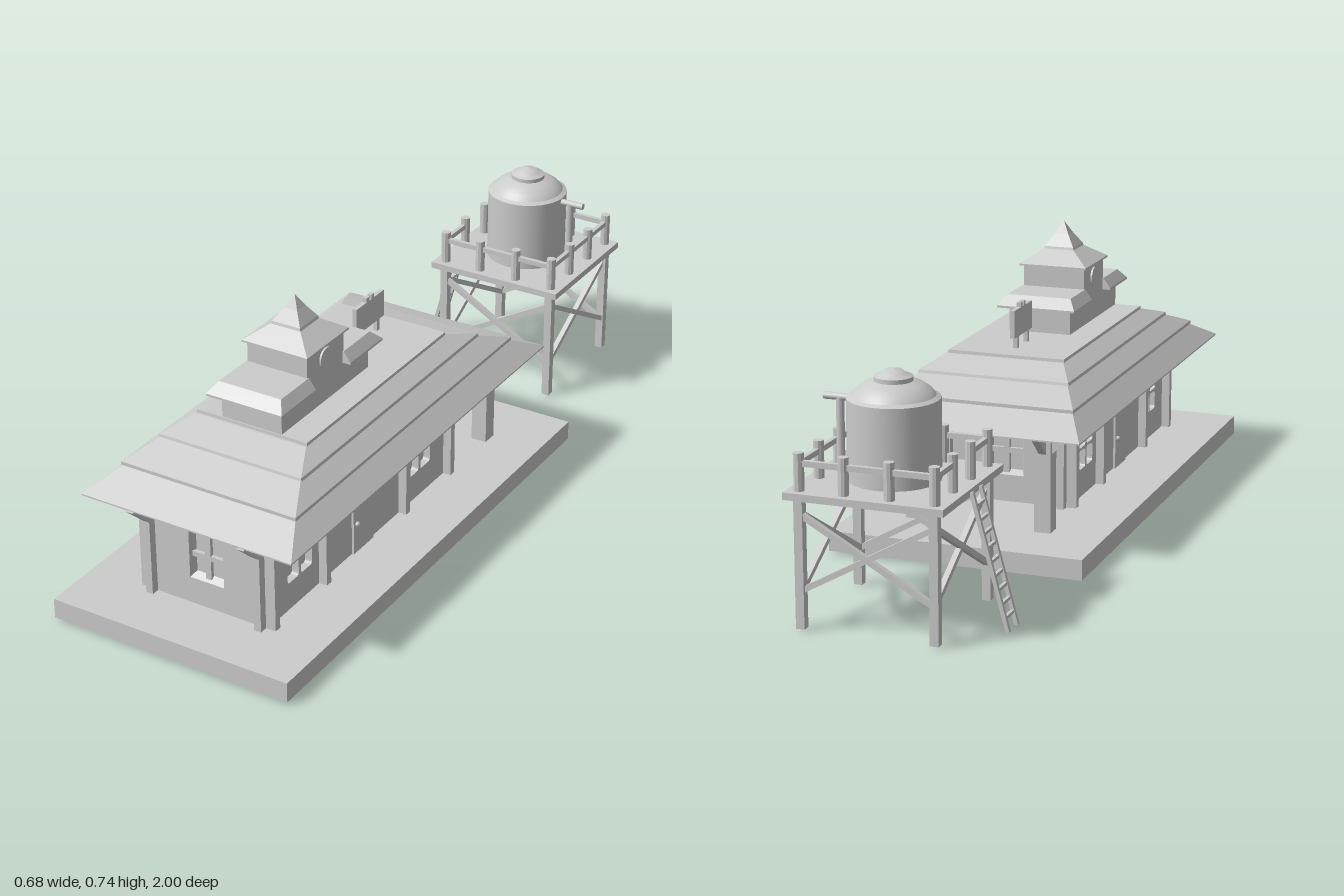
import * as THREE from 'three';

const mat = new THREE.MeshStandardMaterial({ color: 0xcccccc, flatShading: true });
const smooth = new THREE.MeshStandardMaterial({ color: 0xcccccc });

function add(parent, name, geo, x = 0, y = 0, z = 0, m = mat) {
  const mesh = new THREE.Mesh(geo, m);
  mesh.name = name;
  mesh.position.set(x, y, z);
  parent.add(mesh);
  return mesh;
}

function group(parent, name, x = 0, y = 0, z = 0) {
  const g = new THREE.Group();
  g.name = name;
  g.position.set(x, y, z);
  parent.add(g);
  return g;
}

// Box given by its limits
function block(parent, name, x0, x1, y0, y1, z0, z1) {
  return add(parent, name, new THREE.BoxGeometry(x1 - x0, y1 - y0, z1 - z0),
    (x0 + x1) / 2, (y0 + y1) / 2, (z0 + z1) / 2);
}

// Box whose top is squeezed to a second rectangle: bottom/top = [x0, x1, z0, z1]
function taper(parent, name, y0, y1, bottom, top) {
  const geo = new THREE.BoxGeometry(1, 1, 1);
  const p = geo.attributes.position;
  for (let i = 0; i < p.count; i++) {
    const up = p.getY(i) > 0, r = up ? top : bottom;
    p.setXYZ(i, p.getX(i) > 0 ? r[1] : r[0], up ? y1 : y0, p.getZ(i) > 0 ? r[3] : r[2]);
  }
  geo.computeVertexNormals();
  return add(parent, name, geo);
}

// Square bar between two points of the parent's space
function beam(parent, name, a, b, w) {
  const va = new THREE.Vector3(...a), vb = new THREE.Vector3(...b);
  const mesh = add(parent, name, new THREE.BoxGeometry(w, w, va.distanceTo(vb)));
  mesh.position.copy(va).lerp(vb, 0.5);
  mesh.quaternion.setFromRotationMatrix(new THREE.Matrix4().lookAt(vb, va, mesh.up));
}

// Slanted eave bracket reaching outwards along the given angle
function bracket(parent, x, z, angle) {
  const s = new THREE.Shape([[-0.005, 0.265], [0.065, 0.329], [0.035, 0.329], [-0.005, 0.295]]
    .map(([u, v]) => new THREE.Vector2(u, v)));
  const geo = new THREE.ExtrudeGeometry(s, { depth: 0.02, bevelEnabled: false });
  geo.translate(0, 0, -0.01);
  add(parent, 'eaveBracket', geo, x, 0, z).rotation.y = angle;
}

// Rounded window opening
function pane(cx, cy, w, h, r) {
  const p = new THREE.Path(), x = cx - w / 2, y = cy - h / 2;
  p.moveTo(x + r, y);
  p.lineTo(x + w - r, y).quadraticCurveTo(x + w, y, x + w, y + r);
  p.lineTo(x + w, y + h - r).quadraticCurveTo(x + w, y + h, x + w - r, y + h);
  p.lineTo(x + r, y + h).quadraticCurveTo(x, y + h, x, y + h - r);
  p.lineTo(x, y + r).quadraticCurveTo(x, y, x + r, y);
  return p;
}

// Wall panel with openings, outer face at local z = 0
function wall(parent, name, half, holes) {
  const s = new THREE.Shape([[-half, 0.06], [half, 0.06], [half, 0.33], [-half, 0.33]]
    .map(([u, v]) => new THREE.Vector2(u, v)));
  s.holes.push(...holes);
  const geo = new THREE.ExtrudeGeometry(s, { depth: 0.02, bevelEnabled: false, curveSegments: 4 });
  geo.translate(0, 0, -0.02);
  add(parent, name, geo);
}

function buildHouse(root) {
  const house = group(root, 'house', 0.005, 0, 0.4);
  block(house, 'wallCore', -0.155, 0.155, 0.06, 0.328, -0.415, 0.415);

  // End walls with cross-barred windows, posts and brackets
  for (const s of [1, -1]) {
    const end = group(house, s > 0 ? 'frontWall' : 'backWall', 0, 0, s * 0.435);
    if (s < 0) end.rotation.y = Math.PI;
    wall(end, 'endWall', 0.175, [pane(0, 0.2, 0.1, 0.132, 0.001)]);
    // Sloping reveal around the opening
    const reveal = new THREE.CylinderGeometry(0.0707, 0.058, 0.018, 4, 1, true, Math.PI / 4);
    reveal.rotateX(Math.PI / 2).scale(1, 1.32, 1);
    const m = new THREE.MeshStandardMaterial({ color: 0xcccccc, flatShading: true, side: THREE.DoubleSide });
    add(end, 'windowReveal', reveal, 0, 0.2, -0.01, m);
    block(end, 'windowBarUpright', -0.008, 0.008, 0.134, 0.266, -0.018, -0.008);
    block(end, 'windowBarAcross', -0.05, 0.05, 0.193, 0.207, -0.018, -0.008);
    for (const x of [-0.16, 0.16]) {
      block(end, 'endPost', x - 0.01, x + 0.01, 0.06, 0.328, -0.005, 0.022);
      bracket(end, x, 0.022, -Math.PI / 2);
    }
  }

  // Long walls with four-pane windows, door and posts
  for (const s of [1, -1]) {
    const side = group(house, s > 0 ? 'leftWall' : 'rightWall', s * 0.175);
    side.rotation.y = s * Math.PI / 2;
    const holes = [];
    for (const c of [-0.289, 0.289])
      for (const dx of [-0.03, 0.03])
        for (const dy of [-0.03, 0.03]) holes.push(pane(c + dx, 0.193 + dy, 0.05, 0.053, 0.009));
    wall(side, 'longWall', 0.434, holes);
    const d = new THREE.Shape();
    d.moveTo(-0.048, 0.06);
    d.lineTo(0.048, 0.06).lineTo(0.048, 0.223);
    d.quadraticCurveTo(0, 0.255, -0.048, 0.223);
    add(side, 'door', new THREE.ExtrudeGeometry(d, { depth: 0.006, bevelEnabled: false }));
    add(side, 'doorKnob', new THREE.SphereGeometry(0.007, 10, 8), -0.034, 0.145, 0.009, smooth);
    for (const u of [-0.425, -0.193, 0.193, 0.425])
      block(side, 'sidePost', u - 0.01, u + 0.01, 0.06, 0.328, -0.005, 0.023);
  }
}

function buildRoof(root) {
  // Porch columns
  for (const s of [1, -1]) {
    block(root, 'porchColumn', s * 0.177 - 0.022, s * 0.177 + 0.022, 0.06, 0.328, -0.26, -0.216);
    bracket(root, s * 0.199, -0.238, s > 0 ? 0 : Math.PI);
    bracket(root, s * 0.177, -0.26, Math.PI / 2);
  }
  // Stepped hip roof
  const roof = group(root, 'roof', 0, 0, 0.285);
  const r = (x, z) => [-x, x, -z, z];
  const tiers = [
    [0.327, 0.331, 0.303, 0.628, 0.303, 0.628], [0.331, 0.38, 0.303, 0.628, 0.25, 0.525],
    [0.379, 0.388, 0.253, 0.53, 0.253, 0.53], [0.388, 0.424, 0.253, 0.53, 0.205, 0.432],
    [0.423, 0.431, 0.208, 0.433, 0.206, 0.431], [0.431, 0.458, 0.206, 0.431, 0.162, 0.34],
    [0.457, 0.466, 0.162, 0.335, 0.161, 0.334]];
  for (const [y0, y1, xa, za, xb, zb] of tiers) taper(roof, 'roofTier', y0, y1, r(xa, za), r(xb, zb));

  // Cupola with side wings, round dials and a peaked roof
  const cup = group(root, 'cupola', 0, 0, 0.416);
  block(cup, 'cupolaBase', -0.087, 0.087, 0.46, 0.545, -0.2, 0.2);
  block(cup, 'cupolaTower', -0.087, 0.087, 0.46, 0.63, -0.084, 0.084);
  for (const s of [1, -1]) {
    const wing = group(cup, 'wing');
    if (s < 0) wing.rotation.y = Math.PI;
    taper(wing, 'wingEave', 0.534, 0.54, [-0.11, 0.11, 0.08, 0.234], [-0.11, 0.11, 0.08, 0.234]);
    taper(wing, 'wingRoof', 0.54, 0.567, [-0.11, 0.11, 0.08, 0.234], [-0.09, 0.09, 0.08, 0.205]);
    add(cup, 'dial', new THREE.CylinderGeometry(0.028, 0.028, 0.01, 24), s * 0.087, 0.587, 0)
      .rotation.z = Math.PI / 2;
  }
  const spire = [[0.624, 0.096], [0.629, 0.096], [0.665, 0.043], [0.672, 0.041], [0.705, 0.019], [0.738, 0.0005]];
  for (let i = 0; i < spire.length - 1; i++) {
    const [y0, a] = spire[i], [y1, b] = spire[i + 1];
    taper(cup, 'cupolaRoof', y0, y1, r(a, a), r(b, b));
  }

  // Sign board on the ridge
  const sign = group(root, 'signBoard', 0, 0, 0.07);
  block(sign, 'board', -0.006, 0.006, 0.497, 0.572, -0.068, 0.068);
  for (const z of [-0.04, 0.04]) block(sign, 'signLeg', -0.006, 0.006, 0.46, 0.5, z - 0.006, z + 0.006);
  for (const z of [-0.012, 0.012]) block(sign, 'signLug', -0.006, 0.006, 0.57, 0.584, z - 0.007, z + 0.007);
}

function buildWaterTower(root) {
  const tower = group(root, 'waterTower', 0, 0, -0.803);
  block(tower, 'deck', -0.2, 0.2, 0.325, 0.343, -0.197, 0.197);

  // Legs, cross braces and railing, one side per turn
  const post = new THREE.CylinderGeometry(0.013, 0.013, 0.092, 10);
  for (let k = 0; k < 4; k++) {
    const side = group(tower, 'towerSide');
    side.rotation.y = k * Math.PI / 2;
    block(side, 'towerLeg', 0.158, 0.18, 0.006, 0.327, 0.158, 0.18);
    beam(side, 'crossBrace', [-0.165, 0.1, 0.165], [0.165, 0.285, 0.165], 0.014);
    beam(side, 'crossBrace', [0.165, 0.1, 0.169], [-0.165, 0.285, 0.169], 0.014);
    for (const x of [-0.057, 0.057, 0.169]) add(side, 'railPost', post, x, 0.389, 0.169);
    // The ladder side keeps its middle bay open
    const spans = k === 3 ? [[-0.169, -0.057], [0.057, 0.169]] : [[-0.169, 0.169]];
    for (const [a, b] of spans) block(side, 'rail', a, b, 0.403, 0.417, 0.163, 0.175);
  }

  // Tank with domed lid and cap
  const profile = (name, pts) => add(tower, name,
    new THREE.LatheGeometry(pts.map(([a, b]) => new THREE.Vector2(a, b)), 32), 0, 0, 0, smooth);
  profile('tankWall', [[0.112, 0.34], [0.112, 0.541]]);
  profile('tankRim', [[0.112, 0.541], [0.1, 0.547]]);
  profile('tankLid', [[0.1, 0.547], [0.09, 0.56], [0.07, 0.574], [0.045, 0.582]]);
  profile('tankCapSide', [[0.047, 0.58], [0.047, 0.592]]);
  profile('tankCap', [[0.047, 0.592], [0.03, 0.599], [0.022, 0.606], [0, 0.61]]);

  // Filler pipe
  add(tower, 'spout', new THREE.CylinderGeometry(0.009, 0.009, 0.08, 12), 0.138, 0.529, 0, smooth)
    .rotation.z = Math.PI / 2;
  add(tower, 'downPipe', new THREE.CylinderGeometry(0.01, 0.01, 0.19, 12), 0.137, 0.433, 0, smooth);

  // Leaning ladder
  const ladder = group(tower, 'ladder', 0, 0, 0.008);
  for (const z of [-0.029, 0.029]) beam(ladder, 'ladderRail', [-0.292, 0.002, z], [-0.202, 0.335, z], 0.01);
  for (let i = 1; i <= 9; i++) {
    const x = -0.292 + 0.009 * i, y = 0.002 + 0.0333 * i;
    beam(ladder, 'rung', [x, y, -0.029], [x, y, 0.029], 0.008);
  }
}

export function createModel() {
  const root = new THREE.Group();
  root.name = 'station';
  block(root, 'platform', -0.342, 0.342, 0.007, 0.061, -0.432, 1);
  buildHouse(root);
  buildRoof(root);
  buildWaterTower(root);
  return root;
}
